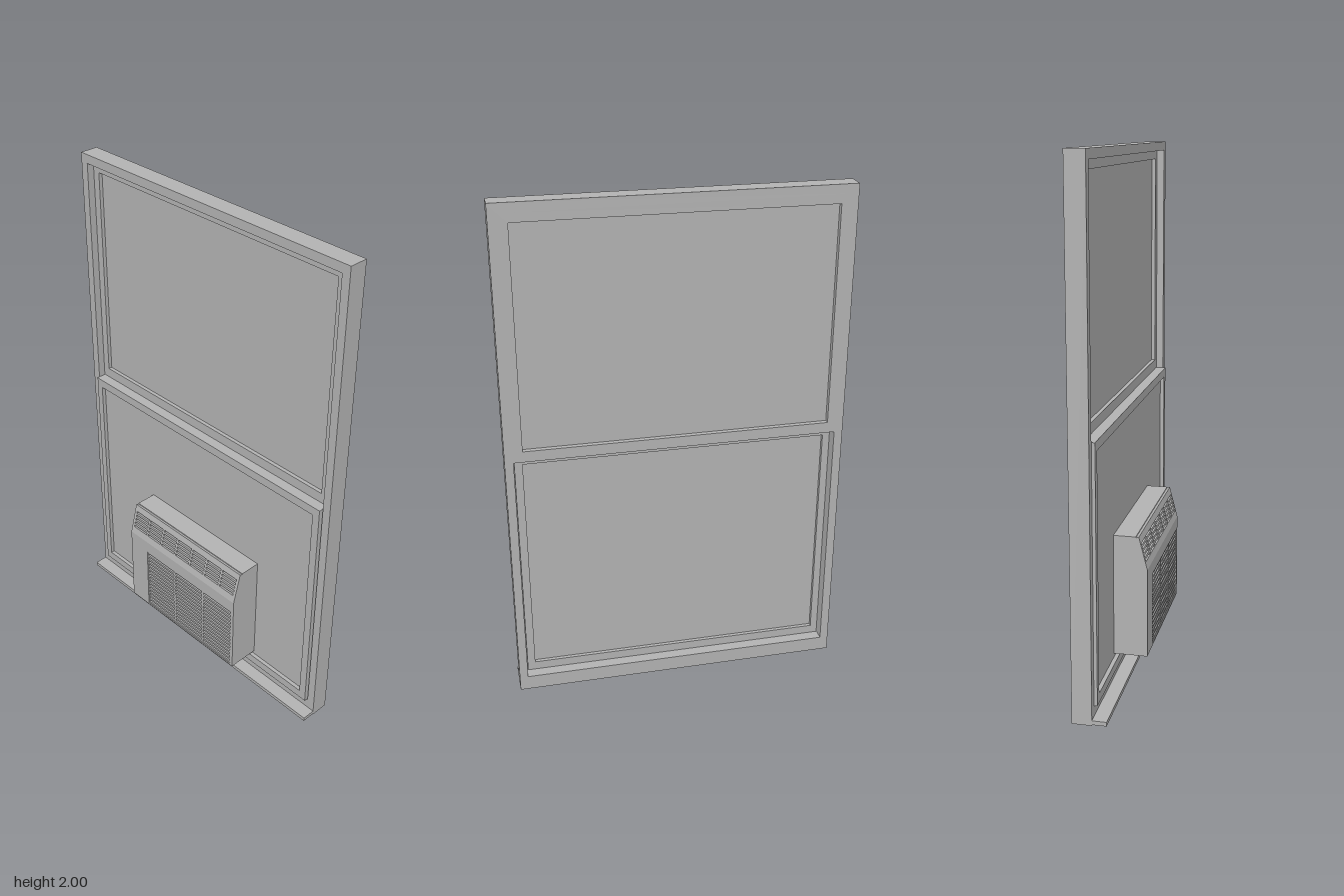
import * as THREE from 'three';

export function createModel() {
  const model = new THREE.Group();
  const grey = new THREE.MeshStandardMaterial({ color: 0xb2b2b2 });
  grey.name = 'grey';

  function add(name, geometry, parent = model) {
    const mesh = new THREE.Mesh(geometry, grey);
    mesh.name = name;
    parent.add(mesh);
    return mesh;
  }

  function box(name, x0, x1, y0, y1, z0, z1) {
    const g = new THREE.BoxGeometry(x1 - x0, y1 - y0, z1 - z0);
    g.translate((x0 + x1) / 2, (y0 + y1) / 2, (z0 + z1) / 2);
    return add(name, g);
  }

  function trace(path, [x0, x1, y0, y1]) {
    path.moveTo(x0, y0);
    path.lineTo(x1, y0);
    path.lineTo(x1, y1);
    path.lineTo(x0, y1);
    path.closePath();
    return path;
  }

  // Rectangular plate with rectangular openings, from z0 to z1
  function plate(outer, holes, z0, z1) {
    const shape = trace(new THREE.Shape(), outer);
    shape.holes = holes.map(h => trace(new THREE.Path(), h));
    const g = new THREE.ExtrudeGeometry(shape, { depth: z1 - z0, bevelEnabled: false });
    return g.translate(0, 0, z0);
  }

  // Regular grid of slots filling an area
  function slots([x0, x1, y0, y1], columns, rows, gapX, fill) {
    const list = [];
    const w = (x1 - x0) / columns, h = (y1 - y0) / rows;
    for (let i = 0; i < columns; i++) {
      for (let j = 0; j < rows; j++) {
        const cy = y0 + (j + 0.5) * h;
        list.push([x0 + i * w + gapX, x0 + (i + 1) * w - gapX, cy - h * fill / 2, cy + h * fill / 2]);
      }
    }
    return list;
  }

  // Outer window frame and sill
  add('windowFrame', plate([-0.655, 0.655, 0, 2], [[-0.622, 0.622, 0.06, 1.965]], -0.1, -0.026));
  box('sill', -0.655, 0.655, 0.004, 0.02, -0.03, 0.028);

  // Upper sash sits at the back, lower sash at the front
  add('upperSash', plate([-0.622, 0.622, 1.032, 1.965], [[-0.592, 0.586, 1.075, 1.93]], -0.1, -0.055));
  box('upperPane', -0.592, 0.586, 1.075, 1.93, -0.08, -0.07);
  add('lowerSash', plate([-0.62, 0.617, 0.06, 1.035], [[-0.592, 0.586, 0.095, 1.0]], -0.055, -0.014));
  box('lowerPane', -0.592, 0.586, 0.095, 1.0, -0.04, -0.03);

  // Air conditioner housing: side profile swept across the width
  const unit = new THREE.Group();
  unit.name = 'airConditioner';
  model.add(unit);
  const left = -0.3, right = 0.315, depth = 0.012;
  const bottom = 0.11, bend = 0.46, top = 0.588, front = 0.1, topFront = 0.067;
  const profile = new THREE.Shape();
  [[-0.031, bottom], [front - depth, bottom], [front - depth, bend], [topFront - depth, top], [-0.031, top]]
    .forEach(([z, y], i) => (i ? profile.lineTo(-z, y) : profile.moveTo(-z, y)));
  const body = new THREE.ExtrudeGeometry(profile, { depth: right - left, bevelEnabled: false });
  body.rotateY(Math.PI / 2).translate(left, 0, 0);
  add('housing', body, unit);

  // Front cover with an inset intake grille
  const intake = [-0.2, 0.302, 0.118, 0.408];
  add('frontCover', plate([left, right, bottom, bend], [intake], front - depth, front), unit);
  add('intakeGrille',
    plate(intake, slots([-0.2, 0.302, 0.122, 0.404], 3, 15, 0.005, 0.5), front - depth, front - 0.003), unit);

  // Sloped outlet grille above the cover
  const slope = Math.hypot(top - bend, front - topFront);
  const outlet = add('outletGrille',
    plate([left, right, 0, slope], slots([-0.292, 0.307, 0.026, 0.108], 7, 5, 0.004, 0.5), -depth, 0), unit);
  outlet.position.set(0, bend, front);
  outlet.rotation.x = -Math.atan2(front - topFront, top - bend);

  return model;
}
